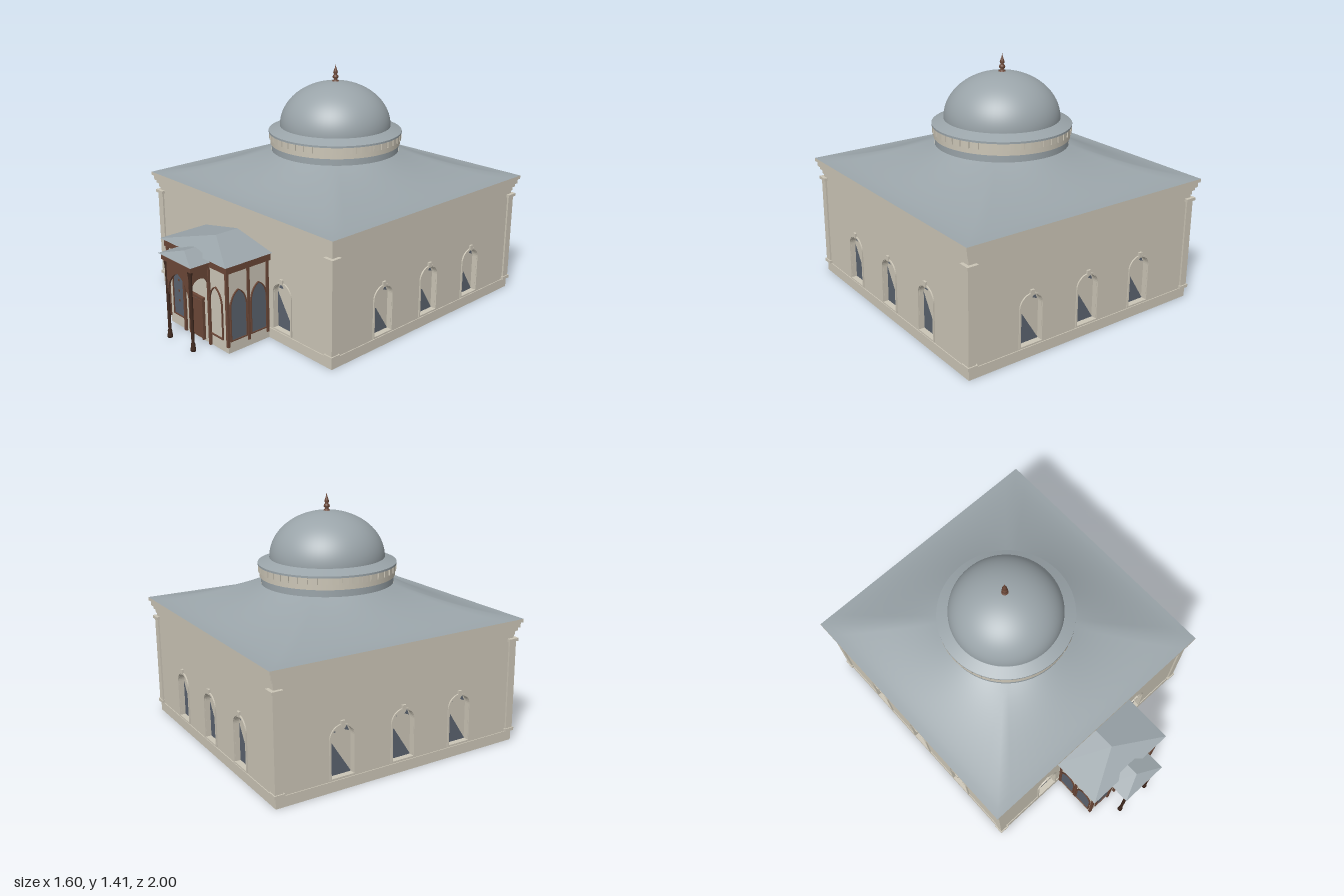
import * as THREE from 'three';

const mat = (name, color, side = THREE.FrontSide) => {
  const m = new THREE.MeshStandardMaterial({ color, side });
  m.name = name;
  return m;
};

export function createModel() {
  const stone = mat('stone', 0xcbc5b6), slate = mat('slate', 0x9aa4a9, THREE.DoubleSide);
  const wood = mat('wood', 0x6b4737), darkWood = mat('darkWood', 0x40291f);
  const glass = mat('glass', 0x5a626e, THREE.DoubleSide);

  const model = new THREE.Group();
  model.name = 'domedHall';
  const group = (name, parent = model) => {
    const g = new THREE.Group();
    g.name = name;
    parent.add(g);
    return g;
  };
  const add = (parent, name, geo, m, x = 0, y = 0, z = 0) => {
    const mesh = new THREE.Mesh(geo, m);
    mesh.name = name;
    mesh.position.set(x, y, z);
    parent.add(mesh);
    return mesh;
  };
  // box given by its bottom and top heights
  const box = (parent, name, m, w, d, y0, y1, x = 0, z = 0) =>
    add(parent, name, new THREE.BoxGeometry(w, y1 - y0, d), m, x, (y0 + y1) / 2, z);
  const extrude = (shape, depth) =>
    new THREE.ExtrudeGeometry(shape, { depth, bevelEnabled: false, curveSegments: 10 });
  const lathe = (pts, n = 64) => new THREE.LatheGeometry(pts.map(p => new THREE.Vector2(...p)), n);
  const polygon = pts => new THREE.Shape(pts.map(p => new THREE.Vector2(...p)));

  // arched outline, round or pointed
  const arch = (cx, hw, y0, spring, top, pointed, Type = THREE.Shape) => {
    const s = new Type();
    s.moveTo(cx - hw, y0);
    s.lineTo(cx + hw, y0);
    s.lineTo(cx + hw, spring);
    if (pointed) {
      s.quadraticCurveTo(cx + hw * 0.85, spring + (top - spring) * 0.75, cx, top);
      s.quadraticCurveTo(cx - hw * 0.85, spring + (top - spring) * 0.75, cx - hw, spring);
    } else s.absellipse(cx, spring, hw, top - spring, 0, Math.PI, false, 0);
    s.lineTo(cx - hw, y0);
    return s;
  };
  const archFrame = (hw, y0, spring, top, t, pointed, depth) => {
    const s = arch(0, hw, y0, spring, top, pointed);
    s.holes.push(arch(0, hw - t, y0 + t, spring, top - t, pointed, THREE.Path));
    return extrude(s, depth);
  };

  // ---- main hall, centred behind the porch ----
  const hall = group('hall');
  hall.position.z = -0.2;
  box(hall, 'core', stone, 1.47, 1.47, 0, 0.64);
  box(hall, 'plinth', stone, 1.54, 1.54, 0, 0.06);
  [[0.77, 0.64, 0.665], [0.78, 0.665, 0.685], [0.79, 0.685, 0.715], [0.8, 0.715, 0.735]]
    .forEach(([r, a, b]) => box(hall, 'cornice', stone, 2 * r, 2 * r, a, b));

  for (let i = 0; i < 4; i++) {
    const side = group('wallSide', hall);
    side.rotation.y = i * Math.PI / 2;
    const xs = i === 0 ? [-0.38, 0.38] : [-0.38, 0, 0.38];
    const wall = polygon([[-0.765, 0], [0.765, 0], [0.765, 0.64], [-0.765, 0.64]]);
    for (const x of xs) wall.holes.push(arch(x, 0.068, 0.075, 0.292, 0.355, false, THREE.Path));
    add(side, 'wall', extrude(wall, 0.03), stone, 0, 0, 0.735);
    for (const x of xs) {
      const win = group('window', side);
      win.position.set(x, 0, 0.765);
      add(win, 'windowFrame', archFrame(0.078, 0.067, 0.292, 0.366, 0.009, false, 0.008), stone);
      box(win, 'keystone', stone, 0.024, 0.016, 0.355, 0.385, 0, 0.004);
      const panes = [
        polygon([[-0.069, 0.075], [0.069, 0.075], [-0.069, 0.292]]),
        polygon([[-0.058, 0.31], [-0.022, 0.312], [-0.04, 0.345]]),
        polygon([[0.028, 0.318], [0.058, 0.305], [0.045, 0.338]]),
      ];
      add(win, 'pane', new THREE.ShapeGeometry(panes), glass, 0, 0, -0.027);
    }
    // corner pilaster
    const pil = group('pilaster', side);
    pil.position.set(0.752, 0, 0.752);
    box(pil, 'pilasterShaft', stone, 0.046, 0.046, 0.06, 0.62);
    box(pil, 'pilasterBase', stone, 0.06, 0.06, 0.06, 0.078);
    box(pil, 'pilasterCap', stone, 0.066, 0.066, 0.605, 0.622);
  }

  // flared roof blending a square eave into a round neck
  const N = 96, M = 14, pos = [], idx = [];
  for (let j = 0; j <= M; j++) {
    const t = j / M;
    for (let i = 0; i < N; i++) {
      const a = i / N * Math.PI * 2, c = Math.cos(a), s = Math.sin(a);
      const r = THREE.MathUtils.lerp(0.8 / Math.max(Math.abs(c), Math.abs(s)), 0.385, t);
      pos.push(r * c, 0.735 + 0.165 * Math.pow(t, 1.5), r * s);
      if (j < M) {
        const p = j * N + i, q = j * N + (i + 1) % N;
        idx.push(p, p + N, q, q, p + N, q + N);
      }
    }
  }
  const roofGeo = new THREE.BufferGeometry();
  roofGeo.setAttribute('position', new THREE.Float32BufferAttribute(pos, 3));
  roofGeo.setIndex(idx);
  roofGeo.computeVertexNormals();
  add(hall, 'flaredRoof', roofGeo, slate);

  // drum, toothed band and dome
  const cyl = (name, r, a, b, m) =>
    add(hall, name, new THREE.CylinderGeometry(r, r, b - a, 64), m, 0, (a + b) / 2, 0);
  cyl('drum', 0.383, 0.89, 0.945, slate);
  cyl('band', 0.392, 0.94, 1.012, stone);
  for (let i = 0; i < 44; i++) {
    const a = i / 44 * Math.PI * 2;
    const tooth = box(hall, 'dentil', stone, 0.034, 0.014, 0.97, 1.008, Math.sin(a) * 0.392, Math.cos(a) * 0.392);
    tooth.rotation.y = a;
  }
  cyl('rim', 0.401, 1.007, 1.018, slate);
  add(hall, 'domeSkirt', new THREE.CylinderGeometry(0.335, 0.401, 0.027, 64), slate, 0, 1.0315, 0);
  const dome = add(hall, 'dome', new THREE.SphereGeometry(0.333, 64, 24, 0, Math.PI * 2, 0, Math.PI / 2), slate, 0, 1.045, 0);
  dome.scale.y = 0.265 / 0.333;
  add(hall, 'finial', lathe([[0.02, 1.305], [0.02, 1.313], [0.008, 1.32], [0.018, 1.333], [0.016, 1.343],
    [0.008, 1.35], [0.014, 1.362], [0.01, 1.375], [0.004, 1.392], [0, 1.412]], 16), wood);

  // ---- porch ----
  const porch = group('porch');
  box(porch, 'porchWalls', stone, 0.54, 0.29, 0, 0.48, 0, 0.71);
  box(porch, 'porchFrieze', wood, 0.57, 0.31, 0.47, 0.515, 0, 0.715);

  // hipped roof with its ridge running back to the wall
  const hipRoof = (parent, name, hw, zBack, zFront, zRidge, y0, y1) => {
    const a = [-hw, y0, zFront], b = [hw, y0, zFront], c = [hw, y0, zBack], d = [-hw, y0, zBack];
    const p = [0, y1, zRidge], q = [0, y1, zBack];
    const tris = [a, b, p, b, c, q, b, q, p, d, a, p, d, p, q, a, d, c, a, c, b];
    const g = new THREE.BufferGeometry();
    g.setAttribute('position', new THREE.Float32BufferAttribute(tris.flat(), 3));
    g.computeVertexNormals();
    add(parent, name, g, slate);
  };
  hipRoof(porch, 'porchRoof', 0.3, 0.56, 0.885, 0.715, 0.515, 0.575);

  const archedPane = (parent, x, glazed) => {
    const w = group('porchWindow', parent);
    w.position.x = x;
    add(w, 'porchWindowFrame', archFrame(0.058, 0.068, 0.27, 0.365, 0.007, true, 0.008), wood);
    if (glazed) add(w, 'porchPane', new THREE.ShapeGeometry(arch(0, 0.053, 0.073, 0.27, 0.36, true)), glass, 0, 0, 0.003);
  };
  const front = group('porchFront', porch);
  front.position.z = 0.855;
  archedPane(front, -0.172, true);
  archedPane(front, 0.172, false);
  for (const y of [0.16, 0.22, 0.285]) box(front, 'paneOrnament', wood, 0.012, 0.006, y, y + 0.012, -0.172, 0.003);

  for (const s of [-1, 1]) {
    const side = group('porchSide', porch);
    side.position.set(s * 0.27, 0, 0.715);
    side.rotation.y = s * Math.PI / 2;
    archedPane(side, -0.07, true);
    archedPane(side, 0.07, true);
    for (const z of [0.582, 0.715, 0.857]) box(porch, 'porchPost', wood, 0.016, 0.016, 0.04, 0.475, s * 0.27, z);
    box(porch, 'entryPost', wood, 0.016, 0.016, 0, 0.475, s * 0.115, 0.86);
  }

  // door with lintel and narrow transom
  box(front, 'doorPanel', wood, 0.11, 0.01, 0.01, 0.238, 0, 0.003);
  box(front, 'transom', glass, 0.11, 0.006, 0.238, 0.25, 0, 0.002);
  box(front, 'lintel', wood, 0.136, 0.022, 0.25, 0.264, 0, 0.008);
  for (const s of [-1, 1]) box(front, 'doorJamb', wood, 0.01, 0.02, 0.01, 0.25, s * 0.06, 0.008);

  // ---- entrance canopy ----
  const canopy = group('canopy');
  box(canopy, 'canopyFrieze', wood, 0.27, 0.13, 0.468, 0.502, 0, 0.925);
  hipRoof(canopy, 'canopyRoof', 0.15, 0.855, 1.0, 0.93, 0.502, 0.542);
  // arched screen hanging below the frieze
  const screen = (hw, spring, top, pointed) => {
    const s = new THREE.Shape();
    s.moveTo(-hw, 0.47);
    s.lineTo(-hw, spring);
    if (pointed) {
      s.quadraticCurveTo(-hw * 0.85, spring + (top - spring) * 0.75, 0, top);
      s.quadraticCurveTo(hw * 0.85, spring + (top - spring) * 0.75, hw, spring);
    } else s.absellipse(0, spring, hw, top - spring, Math.PI, 0, true, 0);
    s.lineTo(hw, 0.47);
    return extrude(s, 0.012);
  };
  add(canopy, 'frontArch', screen(0.1, 0.28, 0.42, true), wood, 0, 0, 0.969);
  for (const s of [-1, 1]) {
    const sideArch = add(canopy, 'sideArch', screen(0.052, 0.36, 0.41, false), wood, s * 0.11 - 0.006, 0, 0.918);
    sideArch.rotation.y = Math.PI / 2;
    add(canopy, 'column', lathe([[0, 0], [0.015, 0], [0.015, 0.012], [0.011, 0.035], [0.013, 0.04], [0.009, 0.05],
      [0.01, 0.43], [0.014, 0.455], [0.014, 0.47]], 16), darkWood, s * 0.11, 0, 0.975);
  }
  return model;
}
